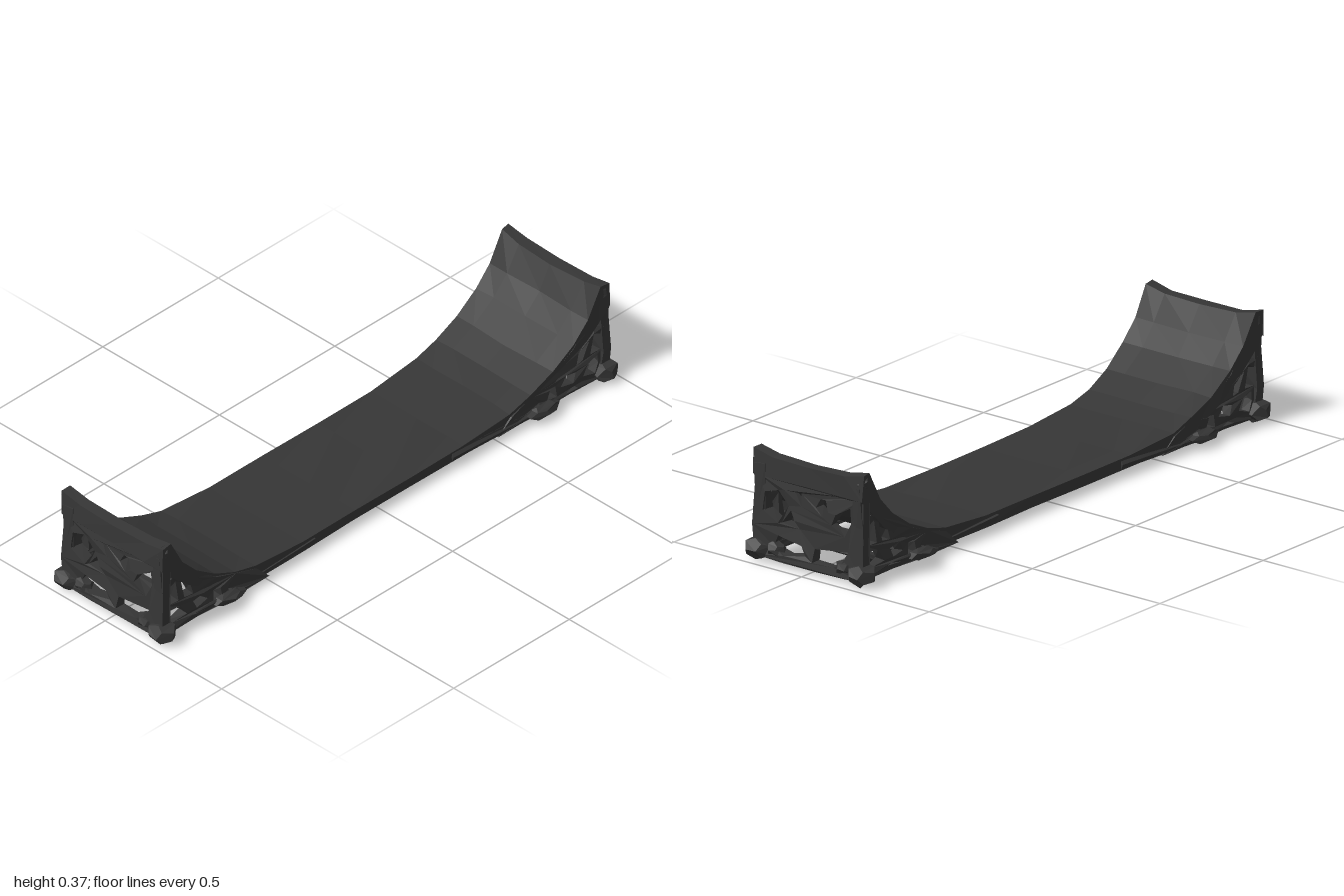
import * as THREE from 'three';

const charcoal = new THREE.MeshStandardMaterial({ color: 0x363636, flatShading: true, side: THREE.DoubleSide });
charcoal.name = 'charcoal';

// Chipped, hand-hewn look: equal positions always move together, so seams stay closed
function rough(geo, amount) {
  const p = geo.attributes.position;
  const hash = (a, b, c, k) => {
    const s = Math.sin(Math.round(a * 1e3) * 12.99 + Math.round(b * 1e3) * 78.23 + Math.round(c * 1e3) * 37.72 + k) * 4375.85;
    return (s - Math.floor(s) - 0.5) * 2 * amount;
  };
  for (let i = 0; i < p.count; i++) {
    const x = p.getX(i), y = p.getY(i), z = p.getZ(i);
    p.setXYZ(i, x + hash(x, y, z, 1), y + hash(x, y, z, 2) * 0.6, z + hash(x, y, z, 3));
  }
  geo.computeVertexNormals();
  return geo;
}

function part(name, geo) {
  const mesh = new THREE.Mesh(geo, charcoal);
  mesh.name = name;
  return mesh;
}

// Perforated plate in the XY plane
function plate(outline, holes, depth) {
  const shape = new THREE.Shape(outline.map(([x, y]) => new THREE.Vector2(x, y)));
  for (const h of holes) shape.holes.push(new THREE.Path(h.map(([x, y]) => new THREE.Vector2(x, y))));
  return new THREE.ExtrudeGeometry(shape, { depth, bevelEnabled: false });
}

// Five-sided strut between two points
function strut(a, b, r) {
  const from = new THREE.Vector3(...a), to = new THREE.Vector3(...b);
  const dir = to.clone().sub(from);
  const geo = new THREE.CylinderGeometry(r, r * 1.2, dir.length(), 5);
  geo.applyQuaternion(new THREE.Quaternion().setFromUnitVectors(new THREE.Vector3(0, 1, 0), dir.normalize()));
  geo.translate(...from.add(to).multiplyScalar(0.5).toArray());
  return rough(geo, 0.004);
}

function lump(x, y, z, sx, sy, sz) {
  const geo = new THREE.DodecahedronGeometry(1, 0);
  geo.scale(sx, sy, sz).translate(x, y, z);
  return rough(geo, 0.005);
}

// Riding surface: closed rings swept along x, [topX, topY, bottomX, bottomY, halfWidth]
function deckGeometry() {
  const half = [
    [0.12, 0.062, 0.12, 0.025, 0.197], [0.35, 0.064, 0.35, 0.026, 0.2], [0.55, 0.08, 0.55, 0.028, 0.202],
    [0.64, 0.105, 0.66, 0.06, 0.205], [0.73, 0.145, 0.76, 0.11, 0.207], [0.82, 0.205, 0.85, 0.165, 0.21],
    [0.88, 0.268, 0.92, 0.23, 0.212], [0.93, 0.345, 0.97, 0.28, 0.214], [0.968, 0.345, 0.97, 0.28, 0.216],
  ];
  const stations = [...half.map(([a, b, c, d, w]) => [-a, b, -c, d, w]).reverse(), ...half];
  const cols = [-1, -0.65, 0, 0.65, 1], n = cols.length * 2;
  const pos = [], index = [];
  for (const [tx, ty, bx, by, w] of stations) {
    const lift = ty > 0.3 ? 0.02 : 0; // corners of the lip rise
    for (const c of cols) pos.push(tx, ty + lift * c ** 4, c * w);
    for (const c of [...cols].reverse()) pos.push(bx, by, c * w);
  }
  for (let i = 0; i < stations.length - 1; i++) {
    for (let j = 0; j < n; j++) {
      const a = i * n + j, b = i * n + (j + 1) % n;
      index.push(a, b, a + n, b, b + n, a + n);
    }
  }
  const last = (stations.length - 1) * n;
  for (let j = 0; j < cols.length - 1; j++) {
    const a = j, b = j + 1, c = n - 2 - j, d = n - 1 - j;
    index.push(a, d, b, b, d, c, last + a, last + b, last + d, last + b, last + c, last + d);
  }
  const geo = new THREE.BufferGeometry();
  geo.setAttribute('position', new THREE.Float32BufferAttribute(pos, 3));
  geo.setIndex(index);
  return rough(geo, 0.003);
}

function createEnd() {
  const end = new THREE.Group();

  // Side trusses follow the curve of the deck
  const outline = [
    [0.5, 0.024], [0.68, 0.018], [0.8, 0.022], [0.97, 0.02], [0.966, 0.15], [0.97, 0.32], [0.93, 0.32],
    [0.88, 0.255], [0.82, 0.195], [0.73, 0.135], [0.64, 0.095], [0.55, 0.07],
  ];
  const holes = [
    [[0.895, 0.13], [0.945, 0.125], [0.94, 0.18], [0.9, 0.205]],
    [[0.86, 0.065], [0.91, 0.05], [0.935, 0.08], [0.925, 0.11], [0.88, 0.105]],
    [[0.825, 0.12], [0.865, 0.125], [0.88, 0.19], [0.845, 0.165]],
    [[0.765, 0.07], [0.815, 0.06], [0.835, 0.09], [0.79, 0.105]],
    [[0.7, 0.05], [0.745, 0.048], [0.74, 0.085], [0.715, 0.082]],
    [[0.78, 0.035], [0.84, 0.033], [0.83, 0.048]],
    [[0.92, 0.225], [0.945, 0.21], [0.945, 0.255]],
    [[0.63, 0.04], [0.675, 0.04], [0.67, 0.06]],
  ];
  for (const z of [0.172, -0.207]) {
    const geo = plate(outline, holes, 0.035);
    geo.translate(0, 0, z);
    end.add(part('sideTruss', rough(geo, 0.006)));
  }

  // Perforated end wall
  const wall = plate(
    [[-0.21, 0.02], [-0.1, 0.014], [0.04, 0.012], [0.21, 0.018], [0.215, 0.12], [0.21, 0.29], [-0.21, 0.29], [-0.218, 0.12]],
    [
      [[-0.17, 0.17], [-0.12, 0.14], [-0.08, 0.2], [-0.12, 0.245], [-0.17, 0.23]],
      [[-0.1, 0.14], [-0.04, 0.135], [-0.05, 0.16], [-0.07, 0.19]],
      [[-0.09, 0.25], [-0.03, 0.21], [-0.035, 0.255]],
      [[0.03, 0.22], [0.055, 0.2], [0.075, 0.22], [0.07, 0.25], [0.045, 0.255]],
      [[0.09, 0.18], [0.15, 0.155], [0.17, 0.2], [0.165, 0.25], [0.11, 0.215]],
      [[-0.14, 0.055], [-0.09, 0.042], [-0.02, 0.05], [-0.02, 0.088], [-0.12, 0.1]],
      [[0.015, 0.045], [0.1, 0.04], [0.135, 0.06], [0.16, 0.105], [0.02, 0.09]],
    ], 0.034);
  wall.rotateY(Math.PI / 2).translate(0.934, 0, 0);
  end.add(part('endWall', rough(wall, 0.006)));

  // Internal bracing and feet
  end.add(part('crossBeam', strut([0.8, 0.035, -0.18], [0.8, 0.035, 0.18], 0.014)));
  end.add(part('crossBeam', strut([0.68, 0.035, -0.18], [0.68, 0.035, 0.18], 0.014)));
  for (const s of [1, -1]) {
    end.add(part('diagonalBrace', strut([0.95, 0.12, s * 0.02], [0.8, 0.03, s * 0.18], 0.012)));
    end.add(part('edgeRail', strut([0.3, 0.045, s * 0.193], [0.7, 0.03, s * 0.2], 0.012)));
    end.add(part('lipCorner', lump(0.95, 0.335, s * 0.203, 0.018, 0.03, 0.015)));
    end.add(part('cornerFoot', lump(0.955, 0.04, s * 0.2, 0.045, 0.039, 0.05)));
    end.add(part('innerFoot', lump(0.68, 0.038, s * 0.215, 0.07, 0.019, 0.028)));
    end.add(part('wallKnuckle', lump(0.955, 0.05, s * 0.135, 0.025, 0.025, 0.035)));
  }
  return end;
}

export function createModel() {
  const model = new THREE.Group();
  model.name = 'halfPipeRamp';
  model.add(part('deck', deckGeometry()));

  const leftEnd = createEnd();
  leftEnd.name = 'leftEnd';
  const rightEnd = leftEnd.clone();
  rightEnd.name = 'rightEnd';
  rightEnd.rotation.y = Math.PI;
  model.add(leftEnd, rightEnd);
  return model;
}
